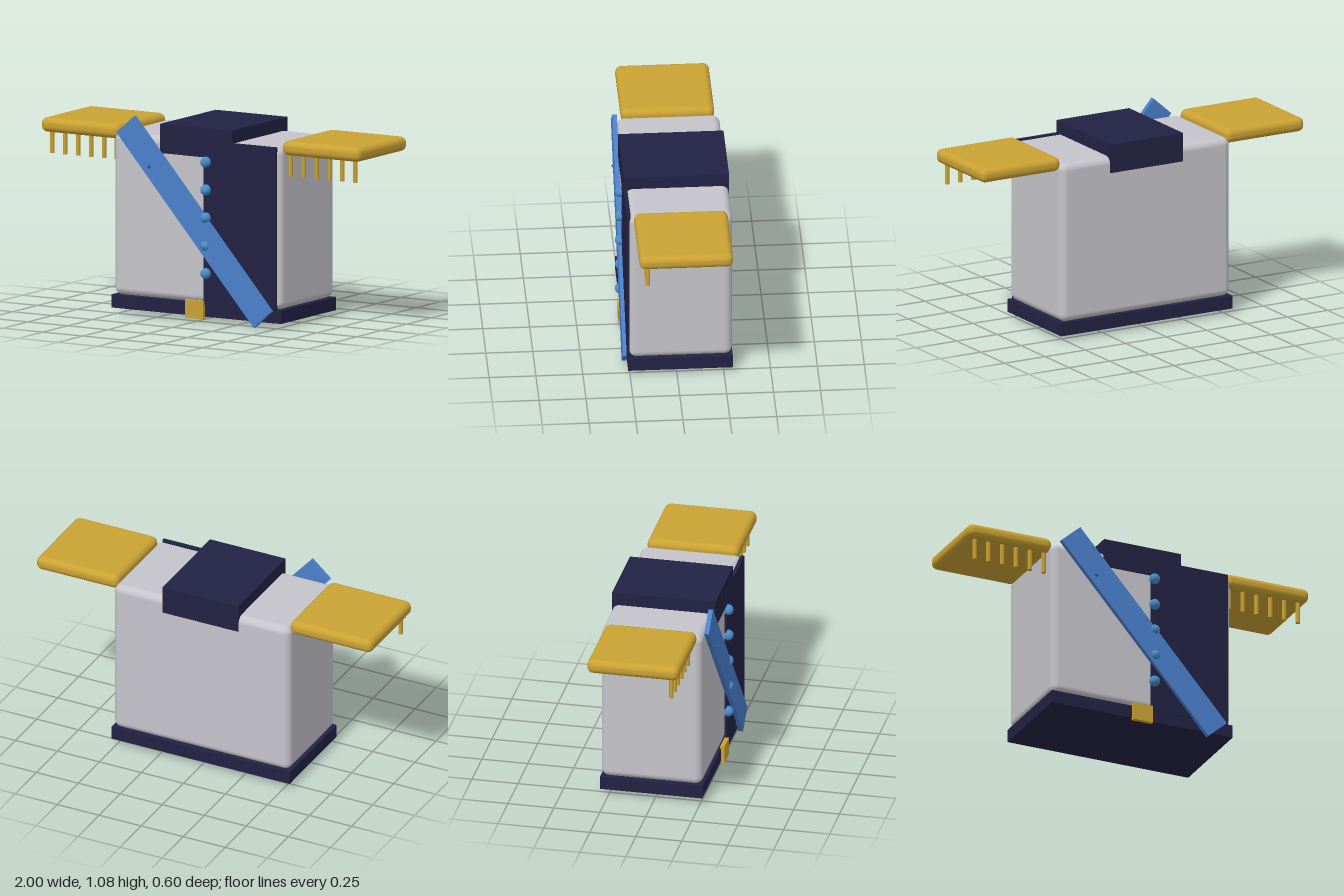
import * as THREE from 'three';
import { RoundedBoxGeometry } from 'three/addons/geometries/RoundedBoxGeometry.js';

const paint = (name, color) => {
  const m = new THREE.MeshStandardMaterial({ color });
  m.name = name;
  return m;
};

export function createModel() {
  const model = new THREE.Group();
  model.name = 'uniformTorso';
  const cloth = paint('pale grey', 0xc4c4ca);
  const navy = paint('navy', 0x222244);
  const gold = paint('gold', 0xcaa233);
  const blue = paint('sash blue', 0x4a80cc);
  const buttonBlue = paint('button blue', 0x4a8cca);
  const gemBlue = paint('gem blue', 0x3566ad);

  const add = (name, geometry, material, x, y, z, parent = model) => {
    const mesh = new THREE.Mesh(geometry, material);
    mesh.name = name;
    mesh.position.set(x, y, z);
    parent.add(mesh);
    return mesh;
  };
  // Box given by its lower and upper limits on each axis
  const block = (name, material, [x0, x1], [y0, y1], [z0, z1], radius = 0, parent = model) => {
    const size = [x1 - x0, y1 - y0, z1 - z0];
    const geometry = radius
      ? new RoundedBoxGeometry(...size, 4, radius)
      : new THREE.BoxGeometry(...size);
    return add(name, geometry, material, (x0 + x1) / 2, (y0 + y1) / 2, (z0 + z1) / 2, parent);
  };

  // Torso, belt, collar and the overlapping front panel
  block('torso', cloth, [-0.525, 0.525], [0.105, 0.98], [-0.295, 0.255], 0.04);
  block('belt', navy, [-0.53, 0.53], [0.035, 0.106], [-0.298, 0.26]);
  block('collar', navy, [-0.225, 0.225], [0.893, 1.05], [-0.298, 0.263]);
  block('frontPanel', navy, [0.05, 0.5], [0.1, 0.982], [0.245, 0.265]);
  block('buckle', gold, [-0.06, 0.055], [0.022, 0.12], [0.255, 0.278]);

  // Diagonal sash with its gem
  const sash = add('sash', new THREE.BoxGeometry(0.145, 1.304, 0.025), blue, 0, 0.543, 0.2725);
  sash.rotation.z = Math.atan2(0.86, 0.98);
  const gem = add('sashGem', new THREE.OctahedronGeometry(0.026), gemBlue, -0.28, 0.82, 0.272);
  gem.scale.y = 1.2;

  // Button row along the panel edge
  for (let i = 0; i < 5; i++) {
    add('button', new THREE.SphereGeometry(0.029, 20, 14), buttonBlue, 0.067, 0.27 + i * 0.15, 0.272);
  }

  // Shoulder boards with a row of hanging fringe
  for (const side of [1, -1]) {
    const shoulder = new THREE.Group();
    shoulder.name = side > 0 ? 'leftEpaulette' : 'rightEpaulette';
    model.add(shoulder);
    const xs = side > 0 ? [0.51, 1] : [-1, -0.51];
    block('shoulderBoard', gold, xs, [0.937, 1.015], [-0.27, 0.23], 0.034, shoulder);
    for (let i = 0; i < 6; i++) {
      add('fringe', new THREE.CylinderGeometry(0.012, 0.012, 0.13, 12), gold,
        side * (0.544 + i * 0.081), 0.887, 0.183, shoulder);
    }
  }
  return model;
}
